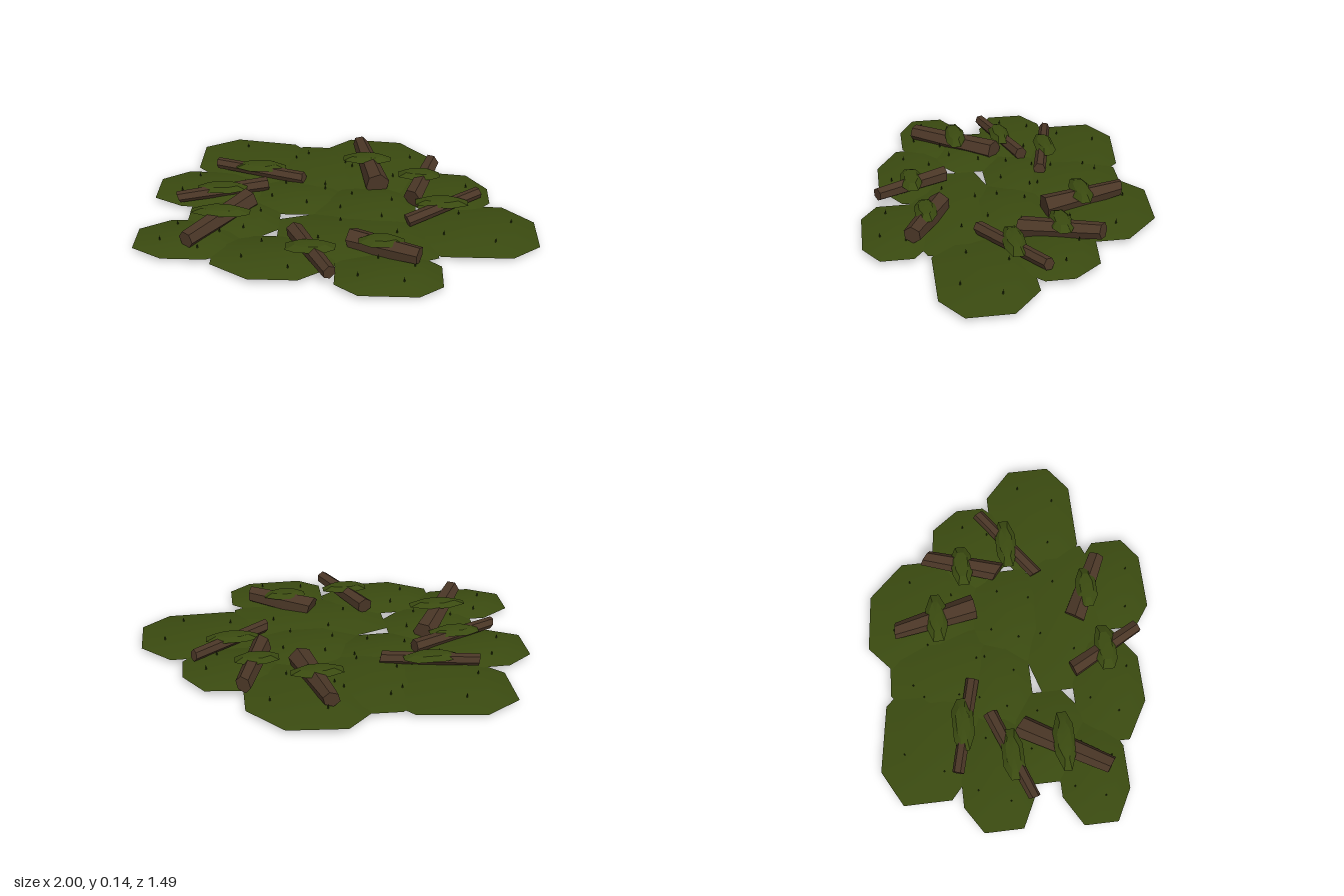
import * as THREE from 'three';
import { toCreasedNormals } from 'three/addons/utils/BufferGeometryUtils.js';

const moss = new THREE.MeshStandardMaterial({ color: 0x3a4a10 });
moss.name = 'moss green';
const bark = new THREE.MeshStandardMaterial({ color: 0x4a3626 });
bark.name = 'bark brown';
const blade = new THREE.MeshStandardMaterial({ color: 0x2a380c });
blade.name = 'dark sprout green';

// Seeded random in the range -1..1
let seed = 7;
const rnd = () => {
  seed = (seed * 16807) % 2147483647;
  return (seed / 2147483647) * 2 - 1;
};

// Irregular eight-sided outline: a box with cut corners, sheared along z
function octagon(cx, cz, rx, rz, shear) {
  const pts = [];
  const put = (u, v) => pts.push([cx + u * rx, cz + v * rz + shear * u * rx]);
  for (const [u, v] of [[1, 1], [-1, 1], [-1, -1], [1, -1]]) {
    const side = [u, v * (0.46 + rnd() * 0.12)];
    const end = [u * (0.46 + rnd() * 0.12), v];
    const corner = u === v ? [side, end] : [end, side];
    corner.forEach((p) => put(...p));
  }
  return pts.reverse();
}

// Low closed dome over an outline: rim, shoulder ring, crown and underside
function domeGeometry(outline, cx, cz, rimY, shoulderY, topY, bottomY) {
  const n = outline.length;
  const pos = [];
  for (const [k, y] of [[1, rimY], [0.62, shoulderY]]) {
    for (const [x, z] of outline) pos.push(cx + (x - cx) * k, y, cz + (z - cz) * k);
  }
  pos.push(cx, topY, cz, cx, bottomY, cz);
  const index = [];
  for (let i = 0; i < n; i++) {
    const j = (i + 1) % n;
    index.push(i, j, n + j, i, n + j, n + i, n + i, n + j, 2 * n, j, i, 2 * n + 1);
  }
  const g = new THREE.BufferGeometry();
  g.setAttribute('position', new THREE.Float32BufferAttribute(pos, 3));
  g.setIndex(index);
  return toCreasedNormals(g, 0.35);
}

// Six-sided tapering log with uneven ends, from a to b
function logGeometry(a, b, ra, rb, spin) {
  const A = new THREE.Vector3(...a), B = new THREE.Vector3(...b);
  const dir = B.clone().sub(A);
  const g = new THREE.CylinderGeometry(rb, ra, dir.length(), 6, 1);
  g.rotateY(spin);
  const p = g.attributes.position;
  const slopeA = rnd() * 0.4, slopeB = rnd() * 0.4;
  for (let i = 0; i < p.count; i++) {
    const y = p.getY(i);
    p.setY(i, y + p.getX(i) * (y < 0 ? slopeA : slopeB));
  }
  g.applyQuaternion(new THREE.Quaternion().setFromUnitVectors(new THREE.Vector3(0, 1, 0), dir.normalize()));
  const mid = A.add(B).multiplyScalar(0.5);
  g.translate(mid.x, mid.y, mid.z);
  const flat = g.toNonIndexed();
  flat.computeVertexNormals();
  return flat;
}

// Ground patches: centre x, centre z, half width, half depth, shear
const patches = [
  [-0.46, -0.45, 0.34, 0.26, 0.15],
  [-0.14, -0.36, 0.26, 0.29, 0.05],
  [0.205, -0.45, 0.295, 0.285, 0.1],
  [-0.68, -0.16, 0.3, 0.18, 0],
  [-0.22, -0.11, 0.26, 0.18, 0],
  [-0.535, 0.13, 0.235, 0.18, 0.05],
  [-0.74, 0.32, 0.26, 0.17, 0],
  [-0.3, 0.46, 0.3, 0.18, 0],
  [0.255, 0.56, 0.255, 0.18, 0],
  [0.1, 0.28, 0.4, 0.22, 0.1],
  [0.14, 0, 0.26, 0.2, 0],
  [0.555, -0.17, 0.235, 0.2, 0.12],
  [0.69, 0.19, 0.31, 0.23, 0],
];

// Logs: start, end, radii, then moss cap centre [x, z], cap half length and cap top height
const logs = [
  [[0.1, 0.095, -0.6], [0.2, 0.068, -0.18], 0.041, 0.065, [0.14, -0.38], 0.13, 0.142],
  [[0.5, 0.09, -0.41], [0.38, 0.078, -0.03], 0.042, 0.052, [0.42, -0.22], 0.11, 0.14],
  [[0.73, 0.083, -0.1], [0.35, 0.07, 0.17], 0.031, 0.034, [0.53, 0.03], 0.135, 0.122],
  [[0.08, 0.065, 0.34], [0.4, 0.09, 0.5], 0.062, 0.045, [0.22, 0.42], 0.11, 0.142],
  [[-0.21, 0.08, 0.29], [-0.02, 0.09, 0.65], 0.045, 0.035, [-0.12, 0.47], 0.12, 0.134],
  [[-0.47, 0.062, -0.02], [-0.73, 0.088, 0.41], 0.06, 0.045, [-0.59, 0.19], 0.15, 0.145],
  [[-0.39, 0.075, -0.16], [-0.84, 0.083, 0.01], 0.037, 0.03, [-0.62, -0.07], 0.13, 0.123],
  [[-0.68, 0.088, -0.35], [-0.2, 0.07, -0.23], 0.03, 0.034, [-0.44, -0.3], 0.135, 0.124],
];

export function createModel() {
  const model = new THREE.Group();
  model.name = 'mossyForestFloor';
  const add = (geometry, material, name) => {
    const mesh = new THREE.Mesh(geometry, material);
    mesh.name = name;
    model.add(mesh);
    return mesh;
  };

  // Overlapping moss patches with tiny sprouts around each shoulder
  patches.forEach(([cx, cz, rx, rz, shear], i) => {
    const lift = (i % 4) * 0.0015;
    const outline = octagon(cx, cz, rx, rz, shear);
    add(domeGeometry(outline, cx, cz, 0.028 + lift, 0.049 + lift, 0.057 + lift, 0.02 + lift), moss, 'mossPatch');
    outline.forEach(([x, z], k) => {
      if (k % 2) return;
      const s = 0.55 + rnd() * 0.07;
      const sprout = add(new THREE.ConeGeometry(0.005, 0.028, 4), blade, 'sprout');
      sprout.position.set(cx + (x - cx) * s, 0.062 + lift, cz + (z - cz) * s);
    });
  });

  // Fallen logs, each with a thin moss cap lying across it
  logs.forEach(([a, b, ra, rb, [cx, cz], half, top], i) => {
    add(logGeometry(a, b, ra, rb, i * 0.4), bark, 'log');
    const rim = octagon(cx, cz, half, 0.054, 0);
    add(domeGeometry(rim, cx, cz, top - 0.028, top - 0.006, top, top - 0.036), moss, 'logMoss');
  });
  return model;
}
